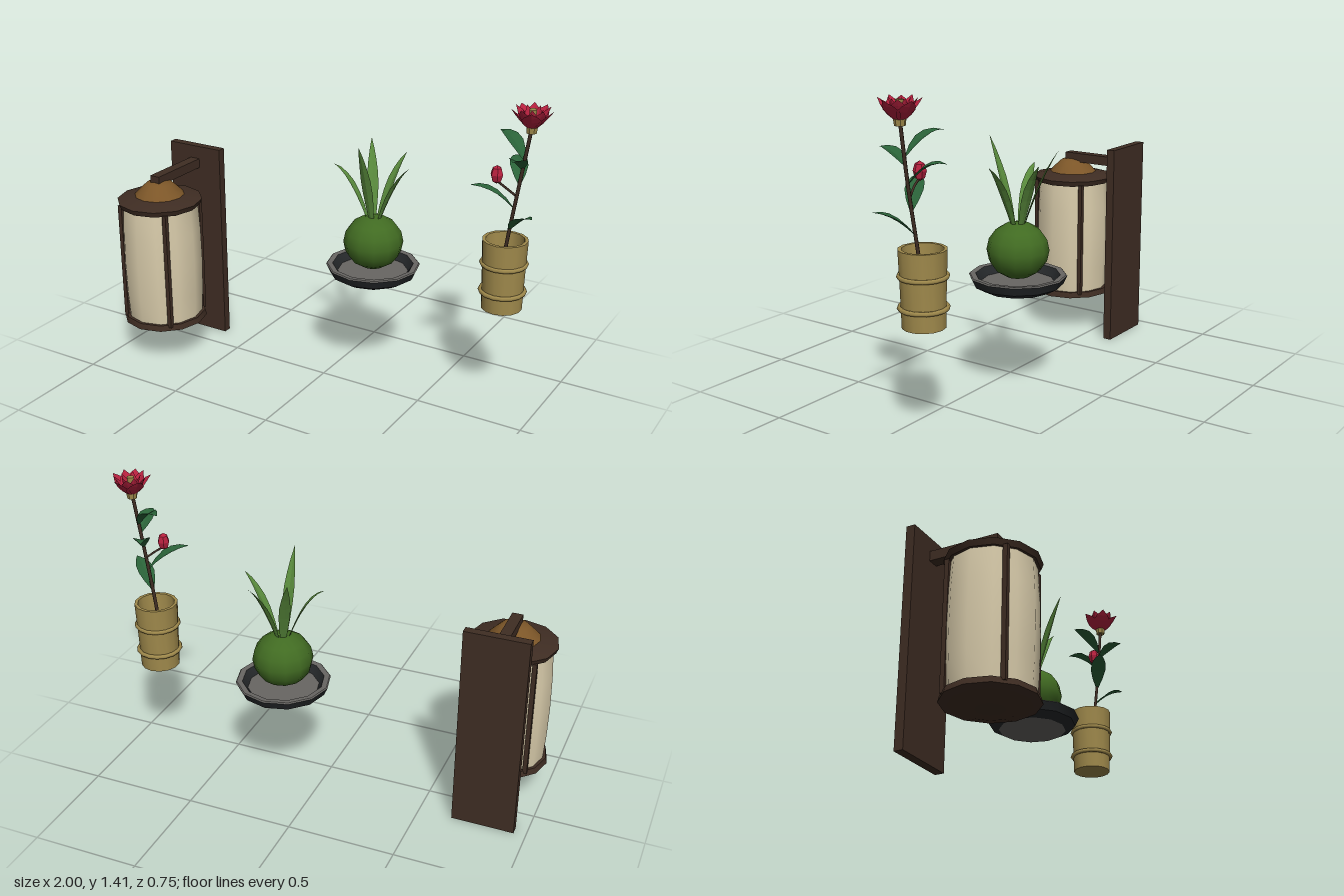
import * as THREE from 'three';
import { toCreasedNormals } from 'three/addons/utils/BufferGeometryUtils.js';

const mat = (name, color, extra = {}) =>
  new THREE.MeshStandardMaterial({ name, color, side: THREE.DoubleSide, ...extra });

export function createModel() {
  const wood = mat('dark wood', 0x3f2d23);
  const dome = mat('amber wood', 0x7c5628);
  const paper = mat('cream paper', 0xd9ccab);
  const black = mat('black glaze', 0x25282a);
  const grey = mat('grey clay', 0x686663);
  const moss = mat('moss green', 0x416b22);
  const blade = mat('blade green', 0x598a3c, { flatShading: true });
  const bamboo = mat('bamboo', 0xa08a4c);
  const leafMat = mat('leaf green', 0x2a6238, { flatShading: true });
  const red = mat('crimson', 0xb8213f, { flatShading: true });

  const model = new THREE.Group();
  const group = (name, x, z) => {
    const g = new THREE.Group();
    g.name = name;
    g.position.set(x, 0, z);
    model.add(g);
    return g;
  };
  const add = (parent, name, geometry, material, x = 0, y = 0, z = 0) => {
    const mesh = new THREE.Mesh(geometry, material);
    mesh.name = name;
    mesh.position.set(x, y, z);
    parent.add(mesh);
    return mesh;
  };
  const lathe = (points, sides = 12) => toCreasedNormals(
    new THREE.LatheGeometry(points.map(p => new THREE.Vector2(...p)), sides), 0.6);

  // Folded leaf along an arched midrib; widths are half-widths from base to tip
  const leaf = (base, tip, lift, widths, fold = 0.25) => {
    const a = new THREE.Vector3(...base), b = new THREE.Vector3(...tip);
    const mid = a.clone().lerp(b, 0.5);
    mid.y += lift;
    const curve = new THREE.QuadraticBezierCurve3(a, mid, b);
    const side = new THREE.Vector3(b.z - a.z, 0, a.x - b.x).normalize();
    const verts = [], index = [], n = widths.length - 1;
    widths.forEach((w, i) => {
      const p = curve.getPoint(i / n);
      const up = curve.getTangent(i / n).cross(side).normalize();
      for (const s of [-1, 0, 1]) {
        const v = p.clone().addScaledVector(side, s * w).addScaledVector(up, Math.abs(s) * w * fold);
        verts.push(v.x, v.y, v.z);
      }
      if (i < n) for (const k of [0, 1]) {
        const q = i * 3 + k;
        index.push(q, q + 1, q + 3, q + 1, q + 4, q + 3);
      }
    });
    const g = new THREE.BufferGeometry();
    g.setAttribute('position', new THREE.Float32BufferAttribute(verts, 3));
    g.setIndex(index);
    g.computeVertexNormals();
    return g;
  };

  // Wall lantern
  const lantern = group('wallLantern', -0.8, 0.17);
  add(lantern, 'backBoard', new THREE.BoxGeometry(0.29, 0.97, 0.04), wood, 0, 0.485, -0.305);
  add(lantern, 'bracketArm', new THREE.BoxGeometry(0.05, 0.045, 0.32), wood, 0, 0.885, -0.13);
  add(lantern, 'topCap', lathe([[0, 0.765], [0.19, 0.765], [0.2, 0.79], [0.115, 0.812], [0, 0.812]]), wood);
  add(lantern, 'topDome', lathe([[0.118, 0.81], [0.09, 0.84], [0.06, 0.868], [0.03, 0.876], [0, 0.877]]), dome);
  add(lantern, 'paperShade', lathe([[0.178, 0.2], [0.186, 0.33], [0.189, 0.485], [0.186, 0.64], [0.178, 0.77]]), paper);
  add(lantern, 'bottomCap', lathe([[0, 0.16], [0.11, 0.16], [0.2, 0.185], [0.193, 0.212], [0, 0.212]]), wood);
  for (let i = 0; i < 4; i++) {
    const a = Math.PI / 4 + i * Math.PI / 2;
    add(lantern, 'strut', new THREE.BoxGeometry(0.02, 0.57, 0.02), wood,
      0.184 * Math.sin(a), 0.485, 0.184 * Math.cos(a));
  }

  // Moss ball on a dish
  const mossPlant = group('mossPlant', 0.17, -0.16);
  add(mossPlant, 'dishBase', lathe([[0, 0.485], [0.155, 0.485]]), grey);
  add(mossPlant, 'dishWall', lathe([[0.155, 0.485], [0.2, 0.51], [0.217, 0.547]]), black);
  add(mossPlant, 'dishRim', lathe([[0.217, 0.547], [0.212, 0.552], [0.187, 0.55]]), grey);
  add(mossPlant, 'dishInnerWall', lathe([[0.187, 0.55], [0.163, 0.515]]), black);
  add(mossPlant, 'dishFloor', lathe([[0.163, 0.515], [0, 0.515]]), grey);
  add(mossPlant, 'mossBall', new THREE.SphereGeometry(0.138, 12, 8), moss, 0, 0.66, 0).scale.y = 0.92;
  const bladeWidths = [0.012, 0.02, 0.025, 0.025, 0.019, 0.011, 0.001];
  [
    [0, 1.15, 0.15, 0.04],
    [0.185, 1.05, 0.02, 0.07],
    [-0.185, 1.015, 0.04, 0.09],
    [-0.095, 1.1, -0.145, 0.05],
    [0.08, 1.06, -0.16, 0.07],
  ].forEach(([x, y, z, lift]) => {
    add(mossPlant, 'grassBlade', leaf([x * 0.15, 0.76, z * 0.15], [x, y, z], lift, bladeWidths), blade);
  });

  // Bamboo vase
  const vase = group('bambooVase', 0.815, -0.155);
  add(vase, 'vaseBody', lathe([[0, 0.488], [0.09, 0.488], [0.094, 0.64], [0.1, 0.81],
    [0.085, 0.81], [0.08, 0.6], [0, 0.6]], 14), bamboo);
  for (const y of [0.57, 0.7]) {
    add(vase, 'vaseBand', new THREE.TorusGeometry(0.097, 0.01, 6, 16), bamboo, 0, y, 0).rotation.x = Math.PI / 2;
  }

  // Flowering branch
  const branch = group('floweringBranch', 0, 0);
  const tube = (points, r) => new THREE.TubeGeometry(
    new THREE.CatmullRomCurve3(points.map(p => new THREE.Vector3(...p))), 8, r, 6);
  add(branch, 'stem', tube([[0.8, 0.6, -0.15], [0.83, 0.82, -0.14], [0.868, 1.06, -0.133], [0.907, 1.32, -0.133]], 0.008), wood);
  add(branch, 'budStalk', tube([[0.86, 1.02, -0.135], [0.815, 1.055, -0.12], [0.777, 1.08, -0.115]], 0.005), wood);
  add(branch, 'bud', new THREE.SphereGeometry(0.028, 6, 4), red, 0.775, 1.108, -0.115).scale.y = 1.45;
  const leafWidths = [0.004, 0.026, 0.038, 0.036, 0.022, 0.001];
  [
    [[0.885, 1.18, -0.135], [0.74, 1.275, -0.21], 0.06],
    [[0.878, 1.14, -0.135], [0.885, 1.21, -0.005], 0.04],
    [[0.87, 1.07, -0.135], [0.8, 1.155, -0.27], 0.06],
    [[0.855, 0.96, -0.135], [0.69, 1.07, -0.04], 0.05],
    [[0.835, 0.86, -0.14], [0.97, 0.968, -0.04], 0.04],
  ].forEach(([base, tip, lift]) => add(branch, 'leaf', leaf(base, tip, lift, leafWidths), leafMat));

  // Blossom: three rings of petals round a pale centre
  const blossom = group('blossom', 0.908, -0.133);
  add(blossom, 'calyx', lathe([[0, 1.305], [0.022, 1.305], [0.027, 1.345], [0, 1.345]], 8), bamboo);
  add(blossom, 'stamens', new THREE.CylinderGeometry(0.017, 0.012, 0.07, 8), bamboo, 0, 1.37, 0);
  [
    { base: 0.018, r: 0.09, y: 1.408, w: 0.042, turn: 0.3 },
    { base: 0.016, r: 0.075, y: 1.414, w: 0.036, turn: 0.93 },
    { base: 0.012, r: 0.045, y: 1.412, w: 0.024, turn: 0.3 },
  ].forEach(({ base, r, y, w, turn }) => {
    for (let i = 0; i < 5; i++) {
      const a = turn + i * Math.PI * 2 / 5, s = Math.sin(a), c = Math.cos(a);
      add(blossom, 'petal', leaf([base * s, 1.325, base * c], [r * s, y, r * c], -0.012,
        [0.4 * w, 0.8 * w, w, 0.7 * w, 0.001]), red);
    }
  });
  return model;
}
